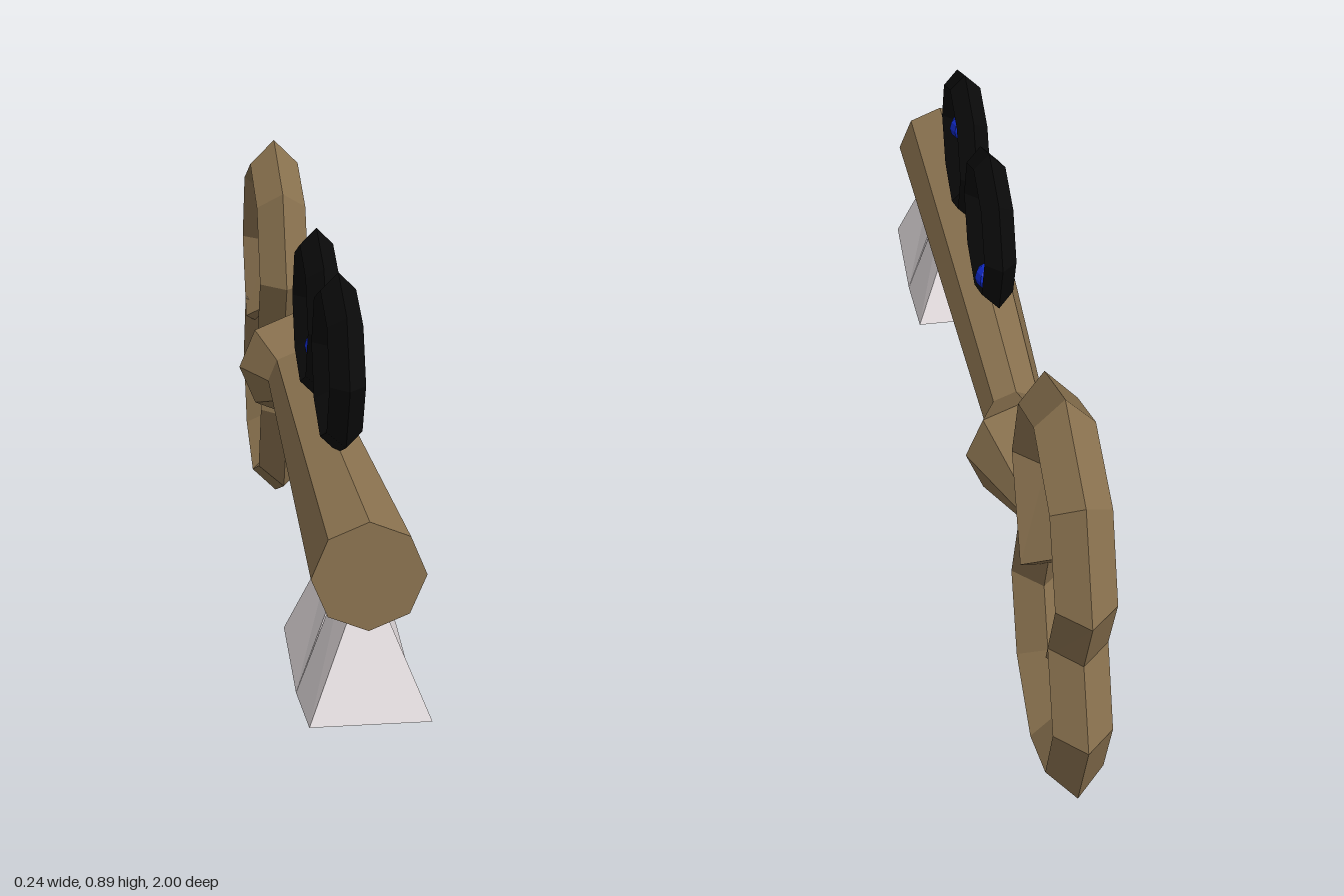
import * as THREE from 'three';

const mat = (color) => new THREE.MeshStandardMaterial({ color, flatShading: true });

function add(parent, name, geometry, material, x = 0, y = 0, z = 0) {
  const mesh = new THREE.Mesh(geometry, material);
  mesh.name = name;
  mesh.position.set(x, y, z);
  parent.add(mesh);
  return mesh;
}

function buildGeometry(positions, index) {
  const g = new THREE.BufferGeometry();
  g.setAttribute('position', new THREE.Float32BufferAttribute(positions, 3));
  g.setIndex(index);
  const flat = g.toNonIndexed();
  flat.computeVertexNormals();
  return flat;
}

// Octagonal arc with a diamond section; each end can be moved by [dz, dy]
function bowLoop(radius, tube, startShift, endShift) {
  const positions = [], index = [], first = -1, last = 5;
  for (let i = first; i <= last; i++) {
    const a = i * Math.PI / 4, c = Math.cos(a), s = Math.sin(a);
    const [dz, dy] = i === first ? startShift : i === last ? endShift : [0, 0];
    const z = radius * c + dz, y = radius * s + dy;
    positions.push(0, y + s * tube, z + c * tube, tube, y, z);
    positions.push(0, y - s * tube, z - c * tube, -tube, y, z);
  }
  const n = last - first;
  for (let k = 0; k < n; k++) {
    for (let j = 0; j < 4; j++) {
      const a = k * 4 + j, b = k * 4 + (j + 1) % 4;
      index.push(a, b, b + 4, a, b + 4, a + 4);
    }
  }
  const e = n * 4;
  index.push(0, 3, 2, 0, 2, 1, e, e + 1, e + 2, e, e + 2, e + 3);
  return buildGeometry(positions, index);
}

// Flared tooth between a back and a front section: [z top, z bottom, y bottom]
function toothGeometry(back, front) {
  const topY = 0.42, topX = 0.018, bottomX = 0.11, positions = [];
  for (const [zt, zb, yb] of [back, front]) {
    positions.push(-bottomX, yb, zb, bottomX, yb, zb, topX, topY, zt, -topX, topY, zt);
  }
  const index = [0, 3, 2, 0, 2, 1, 4, 5, 6, 4, 6, 7];
  for (let j = 0; j < 4; j++) {
    const a = j, b = (j + 1) % 4;
    index.push(a, b, b + 4, a, b + 4, a + 4);
  }
  return buildGeometry(positions, index);
}

export function createModel() {
  const model = new THREE.Group();
  model.name = 'key';
  const brass = mat(0x8b7350), black = mat(0x0a0a0a), blue = mat(0x1029c4), pale = mat(0xe6dfe1);

  // Eight-sided shaft with collar, tapering into the bow
  const profile = [[0, -0.54], [0.02, -0.54], [0.122, -0.29], [0.067, -0.18], [0.103, 0.96], [0, 0.96]]
    .map(([r, z]) => new THREE.Vector2(r, z));
  const shaft = new THREE.LatheGeometry(profile, 8);
  shaft.rotateX(Math.PI / 2);
  add(model, 'shaft', shaft, brass, 0, 0.462, 0);

  // Bow: two open loops that meet at the waist
  add(model, 'upperBowLoop', bowLoop(0.235, 0.057, [-0.036, -0.036], [0.015, -0.02]), brass, 0, 0.605, -0.705);
  const lower = add(model, 'lowerBowLoop', bowLoop(0.235, 0.057, [0, 0], [0, 0]), brass, 0, 0.297, -0.705);
  lower.rotation.z = Math.PI;

  // Round frames standing on the shaft
  const frame = new THREE.TorusGeometry(0.145, 0.034, 4, 8);
  frame.rotateY(Math.PI / 2);
  add(model, 'frontFrame', frame, black, 0, 0.715, 0.515);
  add(model, 'rearFrame', frame, black, 0, 0.715, 0.166);

  // Small beads inside the frames
  const bead = new THREE.SphereGeometry(0.03, 8, 6);
  add(model, 'frontBead', bead, blue, 0.012, 0.788, 0.472);
  add(model, 'rearBead', bead, blue, 0.012, 0.628, 0.107);

  // Bit: two flared teeth side by side
  add(model, 'frontTooth', toothGeometry([0.79, 0.783, 0.16], [0.935, 1.0, 0.196]), pale);
  add(model, 'rearTooth', toothGeometry([0.64, 0.565, 0.196], [0.775, 0.782, 0.16]), pale);

  return model;
}
